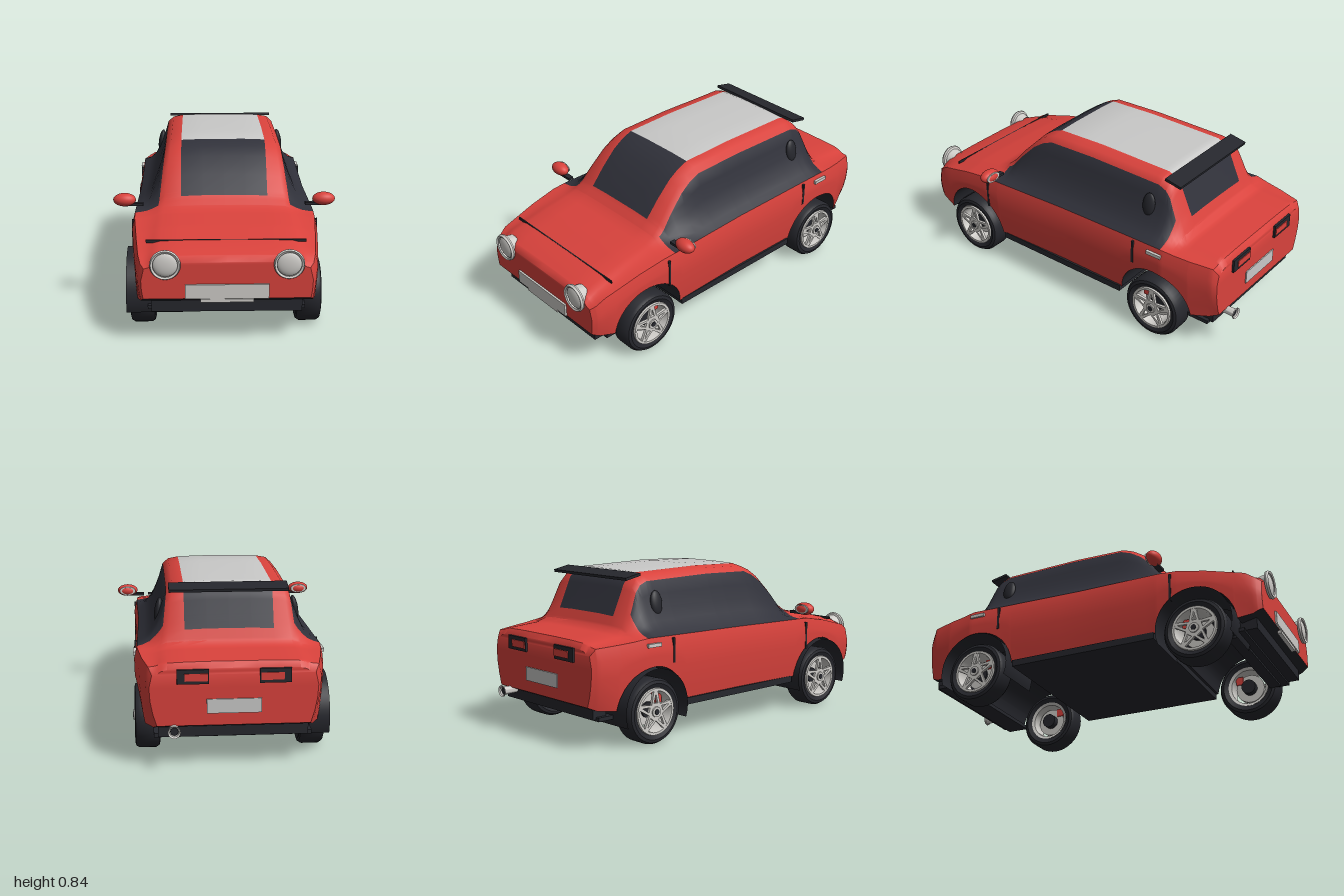
import * as THREE from 'three';
import { toCreasedNormals } from 'three/addons/utils/BufferGeometryUtils.js';

const mat = (name, color, side = THREE.FrontSide) => {
  const m = new THREE.MeshStandardMaterial({ color, side });
  m.name = name;
  return m;
};
const red = mat('red paint', 0xd9423c);
const glass = mat('dark glass', 0x30313a);
const rubber = mat('black rubber', 0x26272d, THREE.DoubleSide);
const white = mat('pale roof panel', 0xc9c9c8);
const metal = mat('light metal', 0xcfcdc9, THREE.DoubleSide);

const FRONT = 0.645, REAR = -0.605; // axle positions
const ARCH_R = 0.208, ARCH_Y = 0.18;

// Body curves along z: top height, shoulder height, half width, lower edge
const top = [[-.945, .5], [-.925, .528], [-.73, .543], [-.69, .565], [-.635, .685], [-.595, .775], [-.565, .81], [-.52, .828],
  [-.1, .836], [.18, .829], [.24, .805], [.3, .765], [.38, .685], [.46, .59], [.5, .555], [.55, .535], [.7, .51], [.9, .462], [.955, .442], [.975, .415]];
const shoulder = [[-.945, .47], [-.92, .505], [-.72, .52], [-.64, .53], [.475, .512], [.55, .508], [.7, .482], [.9, .432], [.975, .385]];
const width = [[-.945, .4], [-.92, .417], [-.8, .445], [-.65, .468], [-.45, .465], [0, .46], [.45, .47], [.55, .467], [.75, .45], [.9, .435], [.95, .422], [.975, .405]];
const lower = [[-.945, .22], [-.9, .2], [-.8, .19], [.84, .19], [.93, .21], [.975, .235]];

function at(table, z) {
  for (let i = 1; i < table.length; i++) {
    const [z0, a] = table[i - 1], [z1, b] = table[i];
    if (z <= z1) return a + (b - a) * Math.max(0, (z - z0) / (z1 - z0));
  }
  return table[table.length - 1][1];
}

function bottomAt(z) {
  let y = at(lower, z);
  for (const c of [FRONT, REAR]) {
    const d = ARCH_R ** 2 - (z - c) ** 2;
    if (d > 0) y = Math.max(y, ARCH_Y + Math.sqrt(d));
  }
  return y;
}

// Half cross-section from the roof centre down to the sill
function halfSection(z) {
  const H = at(top, z), B = at(shoulder, z), W = at(width, z), bot = bottomAt(z);
  const g = H - B, drop = Math.min(.042, g * .42), y4 = H - drop;
  const xt = .305 + .12 * Math.max(0, .83 - H), xb = W - .014;
  const p = [[0, H], [.11, H], [.22, H - drop * .1], [xt - .03, H - drop * .35], [xt, y4]];
  for (const [f, q] of [[.75, .13], [.5, .3], [.25, .5], [.1, .75], [0, 1]]) p.push([xt + (xb - xt) * q, B + (y4 - B) * f]);
  const yw = Math.max(B - .06, bot + .01);
  const tuck = .015 + .04 * Math.max(0, (Math.abs(z) - .85) / .12);
  for (const t of [0, .35, .7, 1]) {
    const y = yw + (bot - yw) * t;
    p.push([W - tuck * ((yw - y) / .22) ** 2, y]);
  }
  return p;
}

function bodyGeometry() {
  const zs = [...top, ...shoulder, ...width, ...lower].map(p => p[0]).concat([-.665, -.58, -.55, .455]);
  for (const c of [FRONT, REAR]) for (let i = 0; i <= 16; i++) zs.push(c + ARCH_R * Math.cos(i * Math.PI / 16));
  zs.sort((a, b) => a - b);
  const rows = zs.filter((z, i) => i === 0 || z - zs[i - 1] > 1e-4);
  const pos = [], parts = [[], [], [], []]; // paint, glass, panel, underside
  let n = 0;
  for (const z of rows) {
    const h = halfSection(z);
    const full = [...h].reverse().concat(h.slice(1).map(([x, y]) => [-x, y]));
    n = full.length;
    for (const [x, y] of full) pos.push(x, y, z);
  }
  const mid = (n - 1) / 2;
  for (let i = 0; i < rows.length - 1; i++) {
    const zc = (rows[i] + rows[i + 1]) / 2;
    for (let j = 0; j < n; j++) {
      const k = (j + 1) % n, a = i * n + j, b = i * n + k, c = b + n, d = a + n;
      const r = Math.abs(j + .5 - mid); // ring distance from the centre line
      let m = 0;
      if (j === n - 1) m = 3;
      else if (r < 2) m = zc > .18 && zc < .455 ? 1 : zc > -.55 && zc < .18 ? 2 : zc > -.665 && zc < -.58 ? 1 : 0;
      else if (r > 4 && r < 9 && zc > -.64 && zc < .475) m = 1;
      parts[m].push(a, b, c, a, c, d);
    }
  }
  // Flat nose and tail
  const e = (rows.length - 1) * n;
  for (let j = 0; j < mid; j++) {
    const l = n - 1 - j;
    parts[0].push(e + j, e + j + 1, e + l - 1, e + j, e + l - 1, e + l);
    parts[0].push(j, l - 1, j + 1, j, l, l - 1);
  }
  const geo = new THREE.BufferGeometry();
  geo.setAttribute('position', new THREE.Float32BufferAttribute(pos, 3));
  geo.setIndex(parts.flat());
  let start = 0;
  parts.forEach((p, i) => { geo.addGroup(start, p.length, i); start += p.length; });
  return toCreasedNormals(geo, .65);
}

function add(parent, name, geo, material, x = 0, y = 0, z = 0) {
  const m = new THREE.Mesh(geo, material);
  m.name = name;
  m.position.set(x, y, z);
  parent.add(m);
  return m;
}
const box = (w, h, d) => new THREE.BoxGeometry(w, h, d);
const lathe = (pts, seg = 40) => toCreasedNormals(new THREE.LatheGeometry(pts.map(p => new THREE.Vector2(...p)), seg), .6);
const lathX = (pts, seg) => lathe(pts, seg).rotateZ(-Math.PI / 2);
const lathZ = (pts, seg) => lathe(pts, seg).rotateX(Math.PI / 2);
const rodX = (r, l, seg = 24) => new THREE.CylinderGeometry(r, r, l, seg).rotateZ(-Math.PI / 2);

// Star-shaped spokes with an opening in each arm
function starGeometry() {
  const s = new THREE.Shape();
  const pt = (r, a) => new THREE.Vector2(r * Math.sin(a), r * Math.cos(a));
  const step = Math.PI * 2 / 5;
  for (let i = 0; i < 5; i++) {
    const a = i * step, w = .12;
    const pts = [pt(.106, a - w), pt(.106, a + w), pt(.045, a + step / 2)];
    pts.forEach((p, k) => (i + k ? s.lineTo(p.x, p.y) : s.moveTo(p.x, p.y)));
    s.holes.push(new THREE.Path([pt(.09, a), pt(.045, a - .3), pt(.045, a + .3)]));
  }
  return new THREE.ExtrudeGeometry(s, { depth: .014, bevelEnabled: false }).rotateY(Math.PI / 2);
}

function wheel(side, z) {
  const w = new THREE.Group();
  w.name = (z > 0 ? 'front' : 'rear') + (side > 0 ? 'Left' : 'Right') + 'Wheel';
  add(w, 'tyre', lathX([[.112, -.05], [.14, -.062], [.155, -.058], [.165, -.042], [.165, .042], [.155, .058], [.14, .062], [.112, .05]], 48), rubber);
  add(w, 'rim', lathX([[.12, .045], [.117, .063], [.104, .063], [.1, .045], [.098, -.05], [.114, -.056]], 40), metal);
  add(w, 'spokes', starGeometry(), metal, .048);
  add(w, 'hub', rodX(.026, .03), metal, .054);
  add(w, 'hubCap', rodX(.014, .01), rubber, .067);
  add(w, 'brakeDisc', rodX(.08, .012, 32), metal, -.012);
  add(w, 'axleStub', rodX(.04, .06), rubber, -.025);
  add(w, 'brakeCaliper', box(.04, .045, .04), red, -.005, .052, -Math.sign(z) * side * .058);
  w.position.set(side * .408, .165, z);
  if (side < 0) w.rotation.y = Math.PI;
  return w;
}

export function createModel() {
  const car = new THREE.Group();
  car.name = 'car';
  add(car, 'body', bodyGeometry(), [red, glass, white, rubber]);

  // Underside, valances and splitters
  add(car, 'floorPan', box(.9, .035, .81), rubber, 0, .178, .018);
  add(car, 'frontValance', box(.72, .06, .09), rubber, 0, .183, .885);
  add(car, 'rearValance', box(.72, .06, .08), rubber, 0, .183, -.87);
  add(car, 'frontSplitter', box(.76, .018, .1), rubber, 0, .151, .82);
  add(car, 'frontSplitterLower', box(.69, .014, .06), rubber, 0, .137, .8);
  add(car, 'rearSplitter', box(.76, .02, .12), rubber, 0, .155, -.83);

  // Wheels, plus arch liners on the right-hand side
  for (const z of [FRONT, REAR]) {
    for (const s of [1, -1]) car.add(wheel(s, z));
    const arc = Math.PI * 2 * 220 / 360;
    const liner = new THREE.CylinderGeometry(.2, .2, .275, 32, 1, true, -arc / 2, arc);
    liner.rotateX(-Math.PI / 2).rotateY(Math.PI / 2);
    add(car, 'archLiner', liner, rubber, -.3475, .18, z);
  }

  // Parts mirrored left and right
  for (const s of [1, -1]) {
    const lampX = s * .29;
    add(car, 'headlampBezel', lathZ([[.048, -.045], [.058, 0], [.07, .004], [.073, .014], [.068, .025], [.058, .02]]), metal, lampX, .408, .975);
    add(car, 'headlampLens', new THREE.SphereGeometry(.06, 32, 16).scale(1, 1, .3), metal, lampX, .408, .982);

    const mirror = new THREE.Group();
    mirror.name = 'wingMirror';
    add(mirror, 'mirrorShell', new THREE.SphereGeometry(1, 28, 18).scale(.058, .034, .038), red);
    add(mirror, 'mirrorGlass', new THREE.CylinderGeometry(1, 1, .006, 28).rotateX(Math.PI / 2).scale(.046, .026, 1), metal, 0, 0, -.028);
    add(mirror, 'mirrorStalk', box(.1, .014, .03), rubber, -s * .045, -.024, 0);
    mirror.position.set(s * .508, .576, .457);
    car.add(mirror);

    add(car, 'frontDoorGap', box(.012, .15, .012), rubber, s * .463, .415, .522);
    add(car, 'rearDoorGap', box(.012, .125, .012), rubber, s * .461, .455, -.478);
    add(car, 'doorHandle', box(.018, .018, .085), metal, s * .465, .495, -.61);
    const vent = add(car, 'sideVent', new THREE.SphereGeometry(1, 20, 14).scale(.018, .062, .036), rubber, s * .345, .68, -.49);
    vent.rotation.z = s * .18;

    add(car, 'tailLampFrame', box(.15, .07, .024), rubber, s * .195, .462, -.945);
    add(car, 'tailLamp', box(.11, .036, .01), red, s * .18, .46, -.956);
  }

  // Front and rear details
  add(car, 'bonnetGap', box(.77, .014, .006), rubber, 0, .473, .828);
  add(car, 'frontPlate', box(.395, .07, .012), metal, 0, .272, .979);
  add(car, 'frontPlateHolder', box(.25, .016, .02), metal, 0, .226, .972);
  add(car, 'rearPlate', box(.26, .07, .008), white, 0, .315, -.947);
  const spoiler = add(car, 'roofSpoiler', box(.59, .014, .095), rubber, 0, .812, -.595);
  spoiler.rotation.x = -.2;
  add(car, 'exhaust', lathZ([[.018, -.13], [.022, 0], [.03, .006], [.03, 0]].map(([r, y]) => [r, -y]), 24), metal, .285, .205, -.992);
  add(car, 'exhaustBore', new THREE.CylinderGeometry(.019, .019, .01, 20).rotateX(Math.PI / 2), rubber, .285, .205, -.98);
  return car;
}
